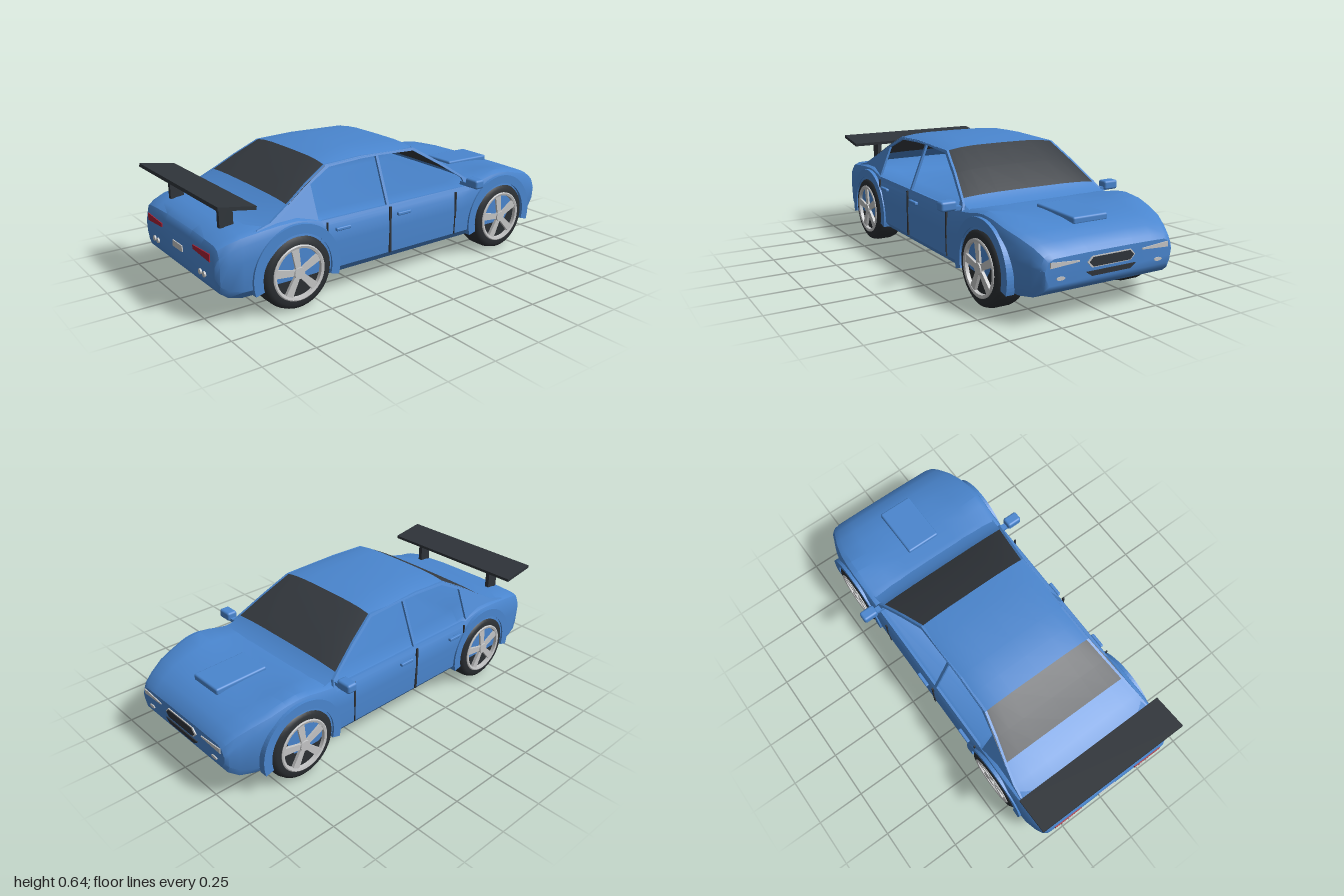
import * as THREE from 'three';
import { toCreasedNormals } from 'three/addons/utils/BufferGeometryUtils.js';
import { RoundedBoxGeometry } from 'three/addons/geometries/RoundedBoxGeometry.js';

const mat = (name, color, side = THREE.FrontSide) => {
  const m = new THREE.MeshStandardMaterial({ color, side });
  m.name = name;
  return m;
};

// Indexed surface over a grid of rows, each row an array of [x, y, z]
function gridGeometry(rows, closed) {
  const n = rows[0].length, index = [];
  for (let i = 0; i < rows.length - 1; i++) {
    for (let j = 0; j < (closed ? n : n - 1); j++) {
      const k = (j + 1) % n;
      const a = i * n + j, b = a + n, c = (i + 1) * n + k, d = i * n + k;
      index.push(a, b, c, a, c, d);
    }
  }
  if (closed) {
    const e = (rows.length - 1) * n;
    for (let j = 1; j < n - 1; j++) index.push(0, j, j + 1, e, e + j + 1, e + j);
  }
  const g = new THREE.BufferGeometry();
  g.setAttribute('position', new THREE.Float32BufferAttribute(rows.flat(2), 3));
  g.setIndex(index);
  return toCreasedNormals(g, 0.55);
}

// One closed body cross-section
function bodyRing([x, wb, ws, yb, ys, yt]) {
  const half = [
    [wb, yb], [ws - 0.005, yb + 0.035], [ws, yb + (ys - yb) * 0.6], [ws - 0.004, ys - 0.045],
    [ws - 0.018, ys - 0.012], [ws - 0.045, ys], [ws * 0.65, (ys + yt) / 2], [ws * 0.35, yt],
  ];
  const left = half.map(([z, y]) => [x, y, z]);
  const right = half.map(([z, y]) => [x, y, -z]).reverse();
  return [...left, ...right];
}

// Crowned strip across the car; stations are [x, half width, edge y, middle y]
function stripGeometry(stations) {
  const across = [1, 0.97, 0.9, 0.75, 0.5, 0, -0.5, -0.75, -0.9, -0.97, -1];
  return gridGeometry(stations.map(([x, w, ye, ym]) =>
    across.map(t => [x, ye + (ym - ye) * (1 - t ** 4), t * w])), false);
}

const shapeOf = pts => new THREE.Shape(pts.map(p => new THREE.Vector2(...p)));
const extrude = (shape, depth) =>
  new THREE.ExtrudeGeometry(shape, { depth, bevelEnabled: false, curveSegments: 24 });

export function createModel() {
  const car = new THREE.Group();
  car.name = 'car';
  const paint = mat('blue paint', 0x4a86cf);
  const paintThin = mat('blue panel', 0x4a86cf, THREE.DoubleSide);
  const glass = mat('dark glass', 0x363b41, THREE.DoubleSide);
  const trim = mat('dark trim', 0x2f343a);
  const rubber = mat('tyre rubber', 0x2b2f33);
  const silver = mat('silver', 0xc4c5c6);
  const red = mat('red lens', 0xa52035);

  const add = (name, geometry, material, x = 0, y = 0, z = 0, parent = car) => {
    const m = new THREE.Mesh(geometry, material);
    m.name = name;
    m.position.set(x, y, z);
    parent.add(m);
    return m;
  };

  // Lower body: x, bottom half width, side half width, bottom y, fender y, middle y
  const body = [
    [-0.99, 0.34, 0.36, 0.19, 0.33, 0.34],
    [-0.975, 0.36, 0.38, 0.155, 0.36, 0.37],
    [-0.94, 0.37, 0.395, 0.13, 0.38, 0.392],
    [-0.88, 0.38, 0.41, 0.117, 0.4, 0.408],
    [-0.78, 0.38, 0.415, 0.115, 0.412, 0.415],
    [-0.7, 0.38, 0.418, 0.115, 0.42, 0.41],
    [-0.6, 0.38, 0.418, 0.115, 0.422, 0.4],
    [-0.52, 0.38, 0.416, 0.115, 0.405, 0.385],
    [-0.45, 0.38, 0.415, 0.115, 0.383, 0.376],
    [0.37, 0.38, 0.415, 0.115, 0.378, 0.376],
    [0.43, 0.38, 0.415, 0.115, 0.395, 0.4],
    [0.5, 0.38, 0.415, 0.115, 0.405, 0.402],
    [0.57, 0.38, 0.417, 0.115, 0.42, 0.4],
    [0.63, 0.38, 0.418, 0.115, 0.426, 0.4],
    [0.7, 0.38, 0.415, 0.115, 0.419, 0.397],
    [0.78, 0.375, 0.407, 0.117, 0.398, 0.391],
    [0.86, 0.365, 0.388, 0.119, 0.376, 0.379],
    [0.93, 0.345, 0.362, 0.13, 0.345, 0.353],
    [0.975, 0.325, 0.345, 0.16, 0.315, 0.32],
    [0.99, 0.31, 0.333, 0.185, 0.297, 0.3],
  ];
  add('body', gridGeometry(body.map(bodyRing), true), paint);

  // Roof, glass, rear deck and cowl
  add('roof', stripGeometry([[-0.4, 0.309, 0.603, 0.622], [-0.3, 0.308, 0.607, 0.636],
    [-0.2, 0.307, 0.61, 0.641], [0, 0.307, 0.609, 0.635], [0.12, 0.307, 0.603, 0.622]]), paintThin);
  add('rearWindow', stripGeometry([[-0.63, 0.36, 0.475, 0.486], [-0.52, 0.337, 0.541, 0.556],
    [-0.4, 0.309, 0.603, 0.622]]), glass);
  add('windshield', stripGeometry([[0.12, 0.307, 0.603, 0.622], [0.26, 0.337, 0.52, 0.538],
    [0.39, 0.367, 0.433, 0.443]]), glass);
  add('rearDeck', stripGeometry([[-0.82, 0.385, 0.4, 0.412], [-0.73, 0.38, 0.42, 0.432],
    [-0.63, 0.36, 0.475, 0.486]]), paintThin);
  add('cowl', stripGeometry([[0.39, 0.367, 0.433, 0.443], [0.43, 0.375, 0.407, 0.415],
    [0.48, 0.38, 0.396, 0.4]]), paintThin);

  // Cabin sides with open windows, leaning inward with height
  const sideShape = shapeOf([[-0.8, 0.36], [0.44, 0.36], [0.42, 0.413], [0.39, 0.435], [0.26, 0.523],
    [0.12, 0.607], [-0.2, 0.615], [-0.4, 0.607], [-0.52, 0.544], [-0.63, 0.478], [-0.73, 0.422], [-0.8, 0.405]]);
  sideShape.holes.push(
    shapeOf([[-0.495, 0.383], [-0.112, 0.383], [-0.112, 0.603], [-0.2, 0.603], [-0.38, 0.595], [-0.495, 0.54]]),
    shapeOf([[-0.097, 0.383], [0.4, 0.383], [0.385, 0.425], [0.26, 0.507], [0.115, 0.594], [-0.097, 0.603]]));
  for (const s of [1, -1]) {
    const g = extrude(sideShape, 0.012);
    const p = g.attributes.position;
    for (let i = 0; i < p.count; i++) {
      const lean = 0.384 - (p.getY(i) - 0.383) * 0.4;
      p.setZ(i, s > 0 ? lean + p.getZ(i) : -lean - 0.012 + p.getZ(i));
    }
    g.computeVertexNormals();
    add(s > 0 ? 'leftCabinSide' : 'rightCabinSide', g, paintThin);
  }

  // Wheels
  const tyre = new THREE.LatheGeometry([[0, -0.07], [0.15, -0.07], [0.17, -0.058], [0.177, -0.035], [0.177, 0.035],
    [0.17, 0.058], [0.152, 0.07], [0.128, 0.07], [0.122, 0.056], [0, 0.056]]
    .map(p => new THREE.Vector2(...p)), 40).rotateX(Math.PI / 2);
  const tyreGeo = toCreasedNormals(tyre, 0.7);
  const rim = toCreasedNormals(new THREE.LatheGeometry([[0.131, 0.05], [0.131, 0.073], [0.126, 0.076],
    [0.115, 0.073], [0.113, 0.05]].map(p => new THREE.Vector2(...p)), 40).rotateX(Math.PI / 2), 0.6);
  const spoke = extrude(shapeOf([[-0.013, 0.015], [0.013, 0.015], [0.019, 0.118], [-0.019, 0.118]]), 0.018);
  const hub = new THREE.CylinderGeometry(0.026, 0.03, 0.03, 20).rotateX(Math.PI / 2);
  // Fender lip around each wheel
  const lipShape = new THREE.Shape();
  lipShape.absarc(0, 0, 0.222, -0.27, Math.PI + 0.27, false);
  lipShape.absarc(0, 0, 0.178, Math.PI + 0.27, -0.27, true);
  const lip = extrude(lipShape, 0.04);

  for (const [end, x] of [['front', 0.63], ['rear', -0.62]]) {
    for (const s of [1, -1]) {
      const wheel = new THREE.Group();
      wheel.name = end + 'Wheel';
      wheel.position.set(x, 0.18, s * 0.355);
      if (s < 0) wheel.rotation.y = Math.PI;
      add('tyre', tyreGeo, rubber, 0, 0, 0, wheel);
      add('rim', rim, silver, 0, 0, 0, wheel);
      add('hub', hub, silver, 0, 0, 0.062, wheel);
      for (let i = 0; i < 5; i++) {
        add('spoke', spoke, silver, 0, 0, 0.053, wheel).rotation.z = 0.15 + i * Math.PI * 0.4;
      }
      car.add(wheel);
      add(end + 'FenderLip', lip, paint, x, 0.18, s > 0 ? 0.381 : -0.421);
    }
  }

  // Door seams, handles and mirrors
  for (const s of [1, -1]) {
    add('doorSeam', new THREE.BoxGeometry(0.011, 0.228, 0.008), trim, -0.104, 0.264, s * 0.4135);
    add('frontDoorSeam', new THREE.BoxGeometry(0.009, 0.135, 0.008), trim, 0.315, 0.302, s * 0.4135);
    add('lowerDoorSeam', new THREE.BoxGeometry(0.004, 0.085, 0.008), trim, 0.313, 0.193, s * 0.412);
    add('rearDoorSeam', new THREE.BoxGeometry(0.006, 0.06, 0.008), trim, -0.46, 0.345, s * 0.4125);
    for (const x of [-0.38, -0.025]) {
      add('doorHandle', new RoundedBoxGeometry(0.08, 0.016, 0.018, 2, 0.005), paint, x, 0.336, s * 0.42);
    }
    add('mirror', new RoundedBoxGeometry(0.056, 0.046, 0.08, 3, 0.012), paint, 0.402, 0.412, s * 0.455);
    add('mirrorStalk', new THREE.BoxGeometry(0.03, 0.018, 0.07), paint, 0.402, 0.396, s * 0.4);
  }

  // Hood scoop
  add('hoodScoop', new RoundedBoxGeometry(0.28, 0.034, 0.184, 3, 0.01), paint, 0.71, 0.395, 0).rotation.z = -0.02;

  // Rear wing
  add('wing', new THREE.BoxGeometry(0.178, 0.016, 0.82), trim, -0.897, 0.528, 0).rotation.z = -0.16;
  for (const s of [1, -1]) {
    add('wingStrut', new THREE.BoxGeometry(0.066, 0.125, 0.022), trim, -0.876, 0.463, s * 0.25);
  }

  // Thin nose and tail details, drawn as [z, y] outlines
  const plate = (name, pts, dir, material, lift = 0) => {
    const g = extrude(shapeOf(pts.map(([z, y]) => [-dir * z, y])), 0.007).rotateY(dir * Math.PI / 2);
    add(name, g, material, dir * (0.988 + lift));
  };
  const hexagon = (w, h, y) => [[-w, y], [-w + h, y + h], [w - h, y + h], [w, y], [w - h, y - h], [-w + h, y - h]];
  const oval = (z, y, rz, ry) => Array.from({ length: 16 }, (_, i) =>
    [z + rz * Math.cos(i * Math.PI / 8), y + ry * Math.sin(i * Math.PI / 8)]);

  plate('grilleFrame', hexagon(0.125, 0.024, 0.257), 1, silver);
  plate('grille', hexagon(0.116, 0.02, 0.257), 1, trim, 0.003);
  plate('lowerIntake', [[-0.13, 0.218], [0.13, 0.218], [0.1, 0.197], [-0.1, 0.197]], 1, trim);
  plate('numberPlate', [[-0.05, 0.245], [0.05, 0.245], [0.05, 0.275], [-0.05, 0.275]], -1, silver);
  for (const s of [1, -1]) {
    plate('headlight', [[s * 0.308, 0.285], [s * 0.165, 0.274], [s * 0.165, 0.268], [s * 0.308, 0.26]], 1, silver);
    plate('fogLight', oval(s * 0.256, 0.212, 0.021, 0.008), 1, silver);
    plate('tailLight', [[s * 0.325, 0.326], [s * 0.165, 0.318], [s * 0.165, 0.3], [s * 0.325, 0.29]], -1, red);
    for (const z of [0.225, 0.265]) {
      add('exhaust', new THREE.CylinderGeometry(0.013, 0.013, 0.03, 16).rotateZ(Math.PI / 2), silver, -0.983, 0.215, s * z);
    }
  }
  return car;
}
